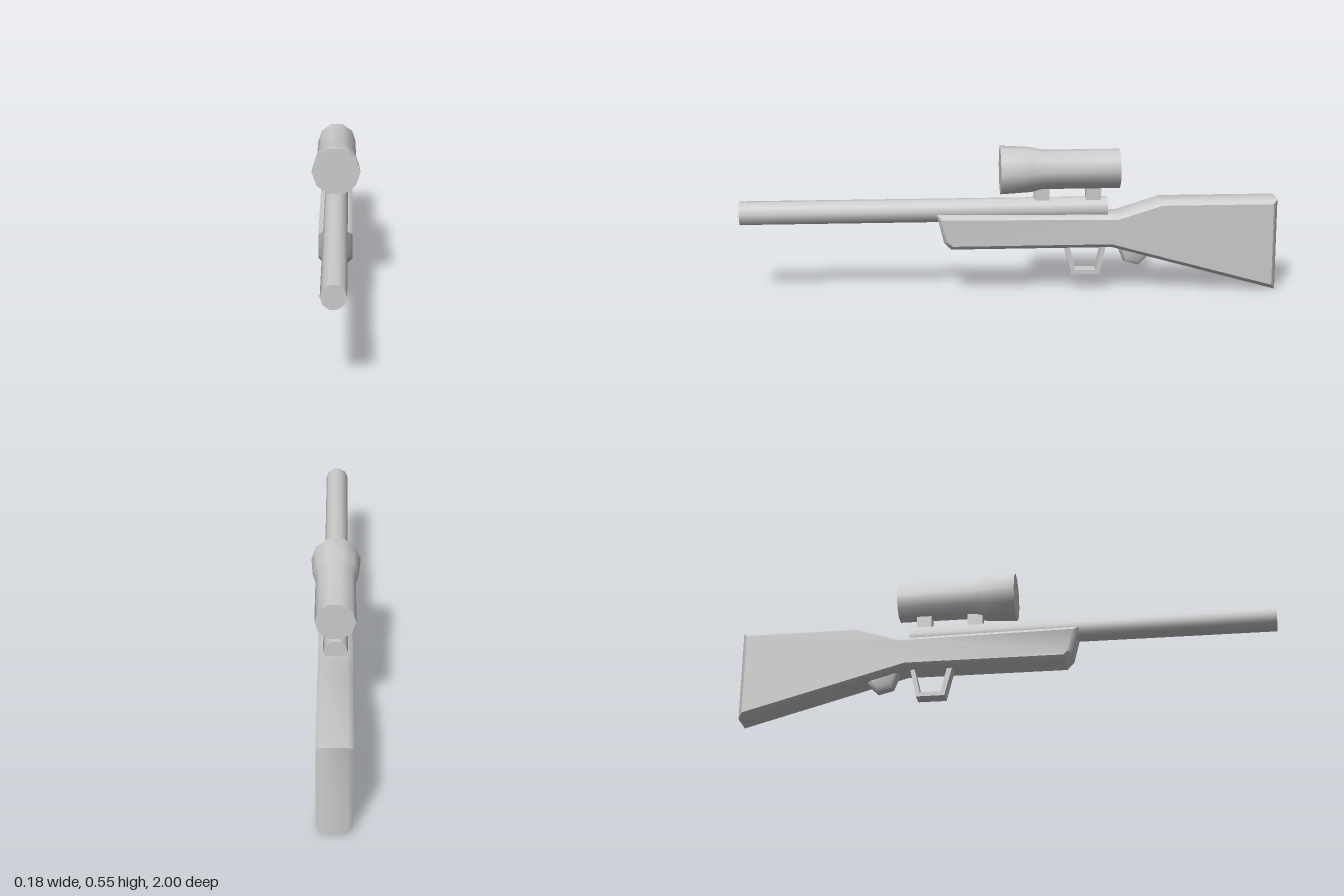
import * as THREE from 'three';
import { toCreasedNormals } from 'three/addons/utils/BufferGeometryUtils.js';

const material = new THREE.MeshStandardMaterial({ color: 0xcccccc });

function addMesh(group, name, geometry) {
  const mesh = new THREE.Mesh(toCreasedNormals(geometry, 0.8), material);
  mesh.name = name;
  group.add(mesh);
  return mesh;
}

// Slab across x from a side outline of [z, y] points, bevelled when an inset outline is given.
function slab(halfWidth, outline, inset = null, bevel = 0) {
  const face = inset || outline;
  const rings = [{ x: -halfWidth, pts: face }, { x: halfWidth, pts: face }];
  if (inset) {
    const edge = halfWidth - bevel;
    rings.splice(1, 0, { x: -edge, pts: outline }, { x: edge, pts: outline });
  }
  const n = outline.length;
  const positions = rings.flatMap(({ x, pts }) => pts.flatMap(([z, y]) => [x, y, z]));
  const index = [];
  for (let k = 0; k < rings.length - 1; k++) {
    for (let i = 0; i < n; i++) {
      const j = (i + 1) % n;
      const a = k * n + i, b = k * n + j;
      index.push(a, b, b + n, a, b + n, a + n);
    }
  }
  // Flat side faces, turned to face outward
  const last = (rings.length - 1) * n;
  const flat = face.map(([z, y]) => new THREE.Vector2(z, y));
  for (const [a, b, c] of THREE.ShapeUtils.triangulateShape(flat, [])) {
    const clockwise = THREE.ShapeUtils.area([flat[a], flat[b], flat[c]]) < 0;
    const [p, q] = clockwise ? [c, b] : [b, c];
    index.push(a, p, q, last + a, last + q, last + p);
  }
  const geometry = new THREE.BufferGeometry();
  geometry.setAttribute('position', new THREE.Float32BufferAttribute(positions, 3));
  geometry.setIndex(index);
  return geometry;
}

// Ten-sided tube along z from [radius, z] points running front to back, with closed ends.
function tube(y, profile) {
  const closed = [[0, profile[0][1]], ...profile, [0, profile.at(-1)[1]]];
  const points = closed.reverse().map(([r, z]) => new THREE.Vector2(r, z));
  return new THREE.LatheGeometry(points, 10, Math.PI / 2)
    .rotateX(Math.PI / 2)
    .translate(0, y, 0);
}

export function createModel() {
  const group = new THREE.Group();

  // Stock with fore-end and butt
  addMesh(group, 'stock', slab(0.062,
    [[0.272, 0.305], [0.246, 0.2], [0.22, 0.173], [-0.38, 0.173],
      [-1, 0], [-1, 0.348], [-0.565, 0.348], [-0.4, 0.296]],
    [[0.252, 0.29], [0.23, 0.203], [0.215, 0.188], [-0.378, 0.188],
      [-0.985, 0.02], [-0.985, 0.333], [-0.567, 0.333], [-0.4, 0.281]],
    0.016));

  // Barrel
  addMesh(group, 'barrel', tube(0.313, [[0.044, 1], [0.044, -0.365]]));

  // Sight tube with flared front, on two mounts
  addMesh(group, 'scope', tube(0.464,
    [[0.091, 0.035], [0.084, -0.08], [0.0735, -0.12], [0.0735, -0.41]]));
  for (const [name, z] of [['frontMount', -0.12], ['rearMount', -0.313]]) {
    addMesh(group, name, new THREE.BoxGeometry(0.042, 0.08, 0.056))
      .position.set(0, 0.37, z);
  }

  // Open guard loop under the stock
  addMesh(group, 'guard', slab(0.028, [
    [-0.201, 0.185], [-0.231, 0.064], [-0.337, 0.064], [-0.363, 0.185],
    [-0.347, 0.185], [-0.323, 0.08], [-0.245, 0.08], [-0.221, 0.185]]));

  // Small bevelled grip behind the guard
  addMesh(group, 'grip', slab(0.028,
    [[-0.4, 0.18], [-0.428, 0.11], [-0.485, 0.095], [-0.527, 0.135], [-0.5, 0.18]],
    [[-0.41, 0.18], [-0.436, 0.122], [-0.482, 0.11], [-0.51, 0.138], [-0.49, 0.18]],
    0.012));

  return group;
}
